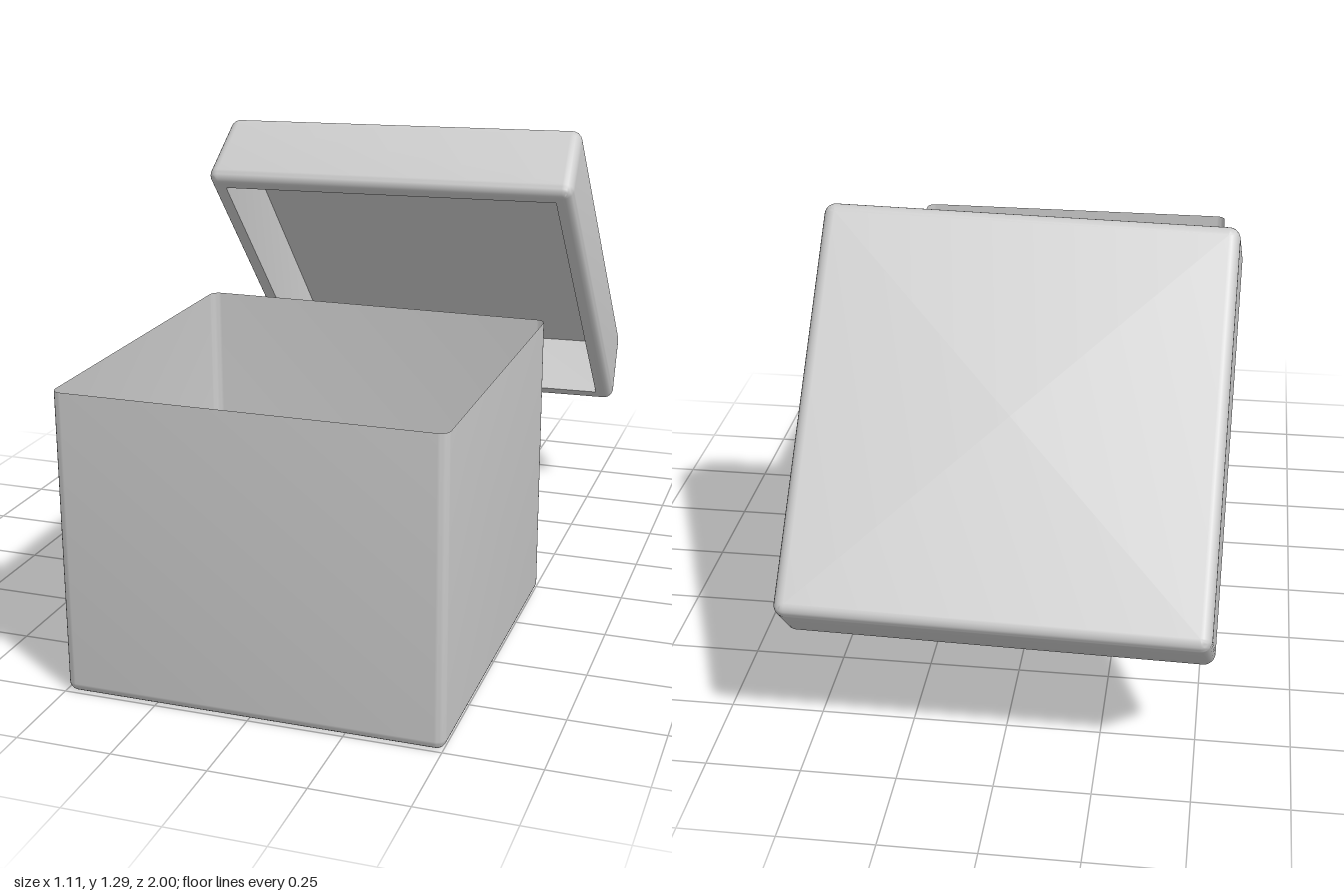
import * as THREE from 'three';
import { toCreasedNormals } from 'three/addons/utils/BufferGeometryUtils.js';

const SEG = 6; // steps per rounded edge

// Rounded square ring, counter-clockwise seen from above.
function ring({ half, y, r }) {
  const pts = [];
  const rad = Math.max(r, 0.001);
  for (let c = 0; c < 4; c++) {
    const mid = (c + 0.5) * Math.PI / 2;
    const cx = Math.sign(Math.cos(mid)) * (half - rad);
    const cz = -Math.sign(Math.sin(mid)) * (half - rad);
    for (let i = 0; i <= SEG; i++) {
      const a = (c + i / SEG) * Math.PI / 2;
      pts.push([cx + rad * Math.cos(a), y, cz - rad * Math.sin(a)]);
    }
  }
  return pts;
}

// Skin a list of rings, optionally closing the first and last ring.
function loft(sections, capFirst, capLast) {
  const n = 4 * (SEG + 1);
  const pos = sections.flatMap(s => ring(s).flat());
  const idx = [];
  for (let k = 0; k < sections.length - 1; k++) {
    for (let j = 0; j < n; j++) {
      const a = k * n + j, b = k * n + (j + 1) % n;
      idx.push(a, a + n, b + n, a, b + n, b);
    }
  }
  const cap = (k, flip) => {
    const centre = pos.length / 3;
    pos.push(0, sections[k].y, 0);
    for (let j = 0; j < n; j++) {
      const a = k * n + j, b = k * n + (j + 1) % n;
      idx.push(centre, flip ? b : a, flip ? a : b);
    }
  };
  if (capFirst) cap(0, false);
  if (capLast) cap(sections.length - 1, true);
  const g = new THREE.BufferGeometry();
  g.setAttribute('position', new THREE.Float32BufferAttribute(pos, 3));
  g.setIndex(idx);
  return toCreasedNormals(g, 0.6);
}

// Quarter-round edge: dir +1 rounds a top edge going down, -1 a bottom edge.
function roundedEdge(half, yFace, r, dir) {
  const out = [];
  for (let i = 0; i <= SEG; i++) {
    const t = (i / SEG) * Math.PI / 2;
    const s = Math.sin(t), c = Math.cos(t);
    out.push({ half: half - r * (1 - s), y: yFace - dir * r * (1 - c), r: r * s });
  }
  return dir > 0 ? out : out.reverse();
}

export function createModel() {
  const model = new THREE.Group();
  model.name = 'openBox';
  const material = new THREE.MeshStandardMaterial({ color: 0xcccccc, side: THREE.DoubleSide });

  // Thin-walled box, open at the top
  const box = new THREE.Mesh(
    loft([{ half: 0.5, y: 0.805, r: 0.025 }, ...roundedEdge(0.5, 0, 0.025, -1)], false, true),
    material
  );
  box.name = 'boxBody';
  box.position.set(0.005, 0, 0.5);
  model.add(box);

  // Thick-walled, slightly tapered lid with a square cavity
  const h = 0.245 / 2;
  const lid = new THREE.Mesh(
    loft([
      ...roundedEdge(0.54, h, 0.03, 1),
      ...roundedEdge(0.55, -h, 0.03, -1),
      { half: 0.5, y: -h, r: 0.002 },
      { half: 0.5, y: h - 0.05, r: 0.002 }
    ], true, true),
    material
  );
  lid.name = 'lid';
  lid.position.set(-0.001, 0.8, -0.562);
  lid.rotation.set(THREE.MathUtils.degToRad(-49.2), 0, 0.018, 'ZXY');
  model.add(lid);

  return model;
}
